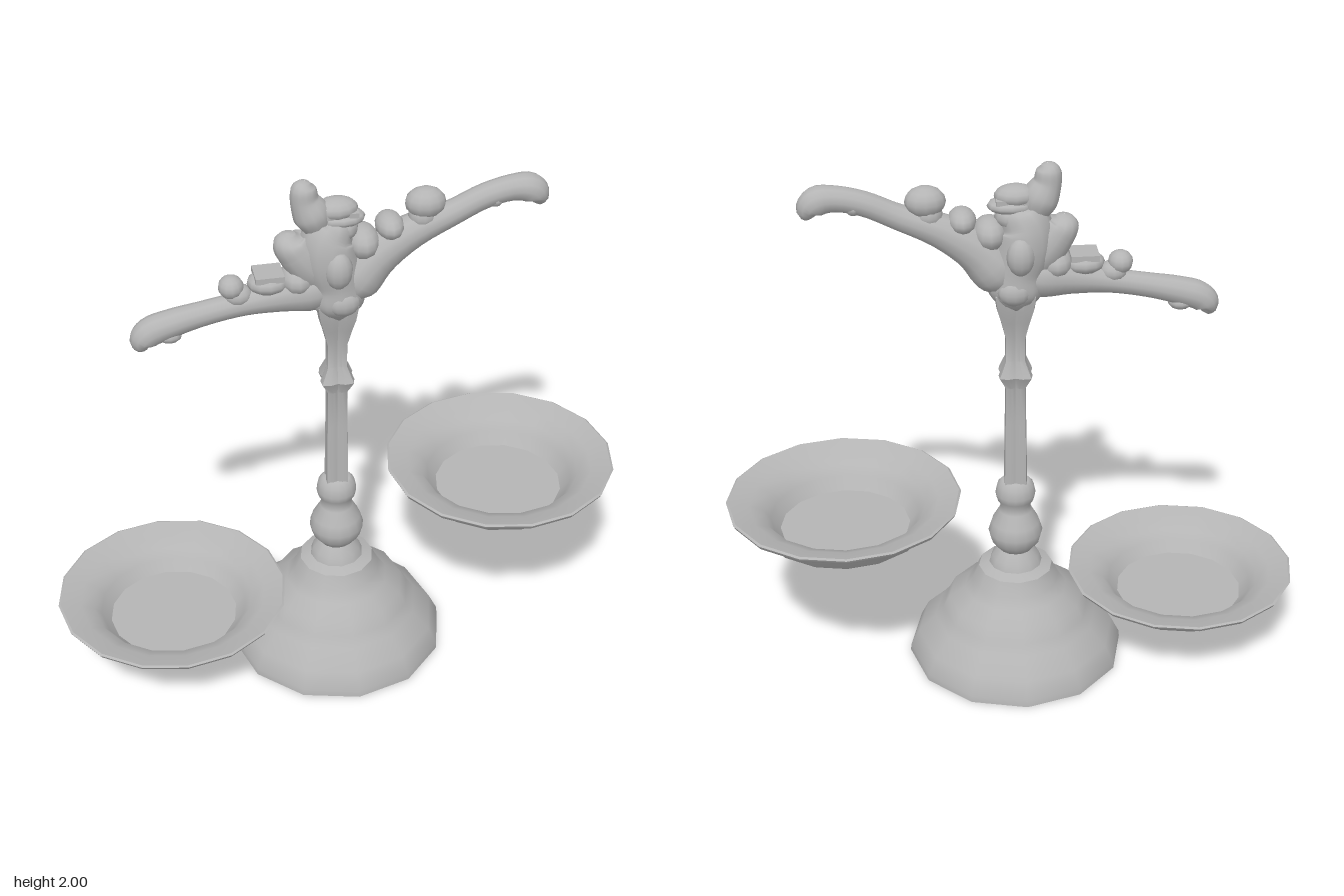
import * as THREE from 'three';
import { toCreasedNormals } from 'three/addons/utils/BufferGeometryUtils.js';

export function createModel() {
  const model = new THREE.Group();
  model.name = 'balanceScale';
  const metal = new THREE.MeshStandardMaterial({ color: 0xb4b4b4 });
  metal.name = 'grey metal';

  function add(parent, name, geometry, x = 0, y = 0, z = 0) {
    const mesh = new THREE.Mesh(geometry, metal);
    mesh.name = name;
    mesh.position.set(x, y, z);
    parent.add(mesh);
    return mesh;
  }

  const lathe = (profile, sides) =>
    new THREE.LatheGeometry(profile.map(([r, y]) => new THREE.Vector2(r, y)), sides);

  // Round limb in the x-y plane; each point is [x, y, radius]
  function limb(points, sides = 12, rings = 32) {
    const curve = new THREE.CatmullRomCurve3(points.map(p => new THREE.Vector3(...p)));
    const pos = [], idx = [];
    for (let i = 0; i <= rings; i++) {
      const t = i / rings, c = curve.getPoint(t), d = curve.getTangent(t);
      const len = Math.hypot(d.x, d.y) || 1;
      const r = i === 0 || i === rings ? 0.001 : Math.max(c.z, 0.001);
      for (let j = 0; j < sides; j++) {
        const a = j / sides * Math.PI * 2, n = Math.cos(a) * r;
        pos.push(c.x - d.y / len * n, c.y + d.x / len * n, Math.sin(a) * r);
        if (i === rings) continue;
        const k = (j + 1) % sides, p = i * sides;
        idx.push(p + j, p + k, p + sides + j, p + k, p + sides + k, p + sides + j);
      }
    }
    const g = new THREE.BufferGeometry();
    g.setAttribute('position', new THREE.Float32BufferAttribute(pos, 3));
    g.setIndex(idx);
    g.computeVertexNormals();
    return g;
  }

  // Stepped bell base
  const base = add(model, 'base', toCreasedNormals(lathe([
    [0, 0], [0.41, 0], [0.407, 0.025], [0.375, 0.09], [0.31, 0.155], [0.28, 0.19],
    [0.255, 0.24], [0.195, 0.28], [0.165, 0.32], [0.14, 0.375], [0.1, 0.39],
    [0.09, 0.42], [0.062, 0.455], [0, 0.46],
  ], 12), 0.75));
  base.rotation.y = -0.17;

  // Turned balls under the column
  add(model, 'baluster', lathe([
    [0, 0.45], [0.065, 0.455], [0.092, 0.49], [0.102, 0.53], [0.09, 0.57], [0.062, 0.62],
    [0.055, 0.645], [0.07, 0.67], [0.075, 0.695], [0.068, 0.73], [0.05, 0.75], [0, 0.755],
  ], 16));

  // Fluted column with a finned collar and flared top
  const column = lathe([
    [0.055, 0.73], [0.054, 0.85], [0.051, 1.0], [0.049, 1.15], [0.08, 1.2], [0.048, 1.26],
    [0.048, 1.35], [0.07, 1.42], [0.088, 1.47], [0.1, 1.53], [0.08, 1.56], [0, 1.57],
  ], 16);
  const cp = column.attributes.position;
  for (let i = 0; i < cp.count; i++) {
    const x = cp.getX(i), z = cp.getZ(i);
    const f = 0.83 + 0.17 * Math.cos(4 * Math.atan2(z, x));
    cp.setX(i, x * f);
    cp.setZ(i, z * f);
  }
  add(model, 'column', toCreasedNormals(column, 0.6));

  // Carved beam, turned to lie along the diagonal
  const beam = new THREE.Group();
  beam.name = 'beam';
  beam.rotation.y = -0.705;
  model.add(beam);

  add(beam, 'raisedArm', limb([
    [0.02, 1.53, 0.04], [0.06, 1.6, 0.09], [0.14, 1.69, 0.08], [0.26, 1.765, 0.062],
    [0.4, 1.82, 0.046], [0.52, 1.875, 0.044], [0.62, 1.897, 0.046], [0.68, 1.89, 0.052],
    [0.705, 1.86, 0.045], [0.695, 1.83, 0.02],
  ]));
  add(beam, 'loweredArm', limb([
    [0, 1.6, 0.05], [-0.08, 1.585, 0.08], [-0.2, 1.57, 0.062], [-0.33, 1.55, 0.045],
    [-0.47, 1.525, 0.044], [-0.58, 1.5, 0.05], [-0.66, 1.472, 0.052],
    [-0.685, 1.44, 0.045], [-0.67, 1.412, 0.02],
  ]));

  // Central body with its shoulder stub and tall crest
  add(beam, 'body', limb([
    [0, 1.46, 0.05], [0, 1.53, 0.1], [-0.005, 1.61, 0.1], [-0.03, 1.7, 0.105],
    [-0.03, 1.78, 0.095], [-0.005, 1.83, 0.07], [0, 1.86, 0.03],
  ]));
  add(beam, 'shoulderStub', limb([
    [-0.03, 1.58, 0.05], [-0.09, 1.67, 0.075], [-0.14, 1.74, 0.072],
    [-0.165, 1.775, 0.06], [-0.17, 1.81, 0.02],
  ]));
  add(beam, 'crest', limb([
    [-0.06, 1.8, 0.04], [-0.085, 1.87, 0.065], [-0.11, 1.93, 0.05],
    [-0.112, 1.975, 0.042], [-0.108, 2.0, 0.015],
  ]));

  // Rounded ornaments: name, x, y, z, then three radii
  const knobs = [
    ['headCrown', 0, 1.885, 0, 0.075, 0.04, 0.055],
    ['headBrow', 0.015, 1.85, 0, 0.085, 0.03, 0.06],
    ['headChin', 0.005, 1.81, 0, 0.07, 0.05, 0.065],
    ['chestKnob', 0.09, 1.75, 0, 0.06, 0.06, 0.085],
    ['armLeaf', 0.185, 1.8, 0, 0.05, 0.045, 0.075],
    ['armKnob', 0.31, 1.875, 0, 0.072, 0.055, 0.06],
    ['armKnobRoot', 0.3, 1.825, 0, 0.05, 0.05, 0.05],
    ['raisedArmCurl', 0.555, 1.865, 0, 0.03, 0.03, 0.042],
    ['loweredLeaf', -0.24, 1.625, 0, 0.075, 0.04, 0.065],
    ['loweredKnob', -0.37, 1.62, 0, 0.045, 0.042, 0.048],
    ['loweredKnobRoot', -0.345, 1.585, 0, 0.05, 0.04, 0.045],
    ['loweredBud', -0.14, 1.63, 0, 0.06, 0.055, 0.08],
    ['loweredArmCurl', -0.59, 1.455, 0, 0.045, 0.028, 0.042],
  ];
  for (const side of [1, -1]) {
    knobs.push(['sideLeaf', -0.01, 1.69, 0.085 * side, 0.05, 0.07, 0.045]);
    knobs.push(['sideFoot', 0.01, 1.55, 0.07 * side, 0.06, 0.05, 0.04]);
  }
  for (const [name, x, y, z, ...radii] of knobs) {
    add(beam, name, new THREE.SphereGeometry(1, 12, 8), x, y, z).scale.set(...radii);
  }
  // Flat collar bands on the lowered arm and the head
  add(beam, 'loweredBand', new THREE.BoxGeometry(0.1, 0.022, 0.1), -0.24, 1.655, 0);
  add(beam, 'headBand', new THREE.BoxGeometry(0.12, 0.018, 0.09), 0.01, 1.872, 0);

  // Two shallow dishes
  const dish = [
    [0, 0], [0.235, 0.003], [0.285, 0.02], [0.312, 0.04], [0.33, 0.08], [0.36, 0.105],
    [0.425, 0.135], [0.433, 0.15], [0.425, 0.155], [0.35, 0.132], [0.3, 0.11],
    [0.275, 0.075], [0.24, 0.03], [0, 0.03],
  ];
  for (const [name, x, y, z, s] of [
    ['raisedPan', 0.5, 0.575, 0.396, 1], ['loweredPan', -0.5, 0.18, -0.4, 0.88],
  ]) {
    const pan = add(model, name, toCreasedNormals(lathe(dish, 16), 0.7), x, y, z);
    pan.scale.y = s;
    pan.rotation.y = 0.08;
  }
  return model;
}
